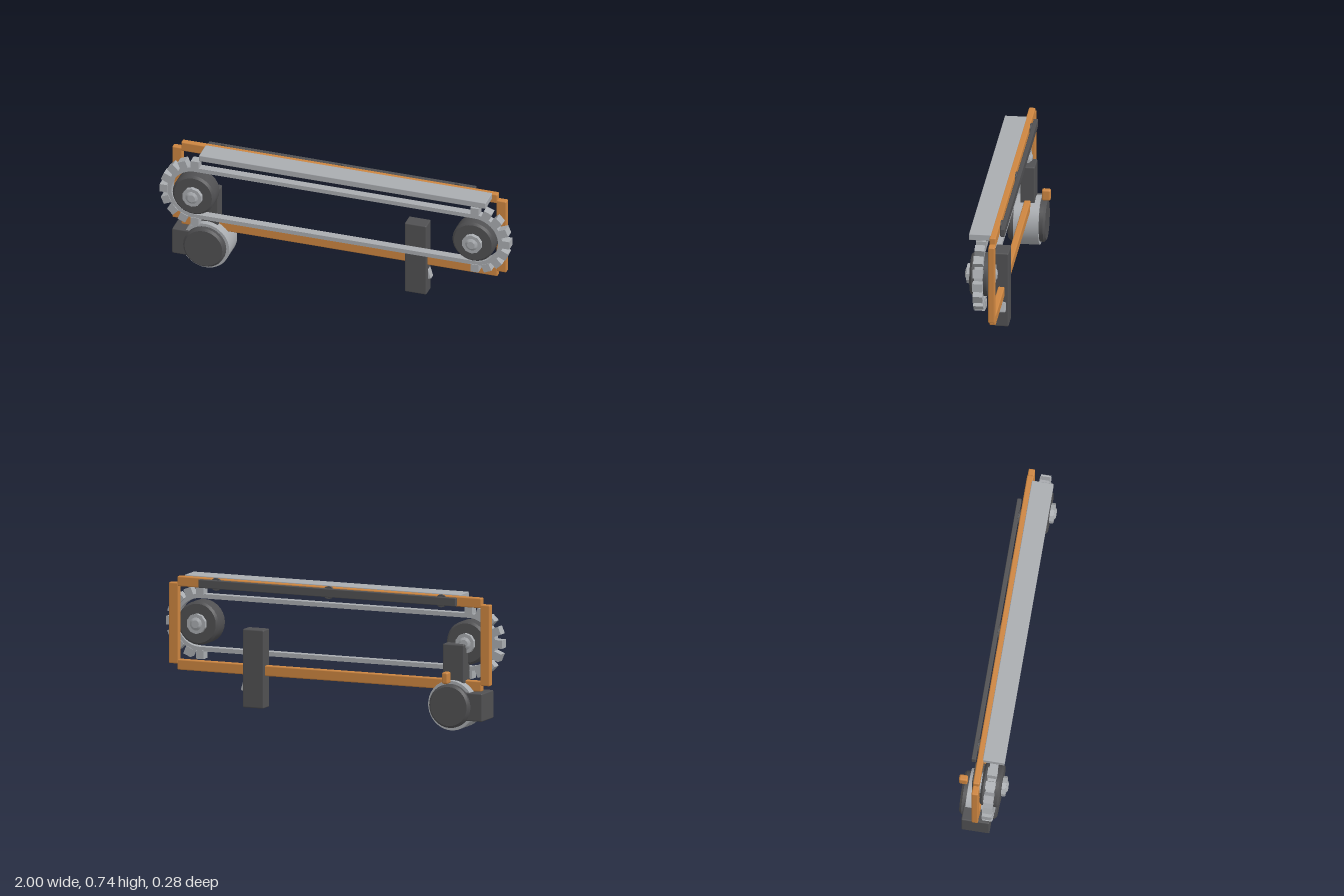
import * as THREE from 'three';
import { toCreasedNormals } from 'three/addons/utils/BufferGeometryUtils.js';
import { RoundedBoxGeometry } from 'three/addons/geometries/RoundedBoxGeometry.js';

export function createModel() {
  const model = new THREE.Group();
  model.name = 'conveyorFrame';
  const material = (name, color) => {
    const m = new THREE.MeshStandardMaterial({ color });
    m.name = name;
    return m;
  };
  const orange = material('orange', 0xcc8540);
  const grey = material('light grey', 0xa9acb0);
  const dark = material('dark grey', 0x505052);

  const add = (name, geometry, mat, parent = model) => {
    const mesh = new THREE.Mesh(geometry, mat);
    mesh.name = name;
    parent.add(mesh);
    return mesh;
  };
  // Softened block given by its low and high limits on each axis
  const block = (name, mat, [x0, x1], [y0, y1], [z0, z1], r = 0.007) => {
    const g = new RoundedBoxGeometry(x1 - x0, y1 - y0, z1 - z0, 2, r);
    g.translate((x0 + x1) / 2, (y0 + y1) / 2, (z0 + z1) / 2);
    return add(name, g, mat);
  };
  // Round part turned about the z axis; profile points are [radius, z]
  const turned = (name, mat, profile, x, y, sides = 32, parent = model) => {
    const pts = profile.map(([r, z]) => new THREE.Vector2(r, z));
    const g = toCreasedNormals(new THREE.LatheGeometry(pts, sides), 0.45);
    g.rotateX(Math.PI / 2);
    g.translate(x, y, 0);
    return add(name, g, mat, parent);
  };
  // Solid drum with chamfered rims
  const drum = (r, z0, z1, c) => [
    [0, z0], [r - c, z0], [r, z0 + c], [r, z1 - c], [r - c, z1], [0, z1],
  ];

  // Frame
  const frameZ = [-0.036, 0];
  block('topRail', orange, [-0.905, 0.905], [0.675, 0.731], frameZ);
  block('bottomRail', orange, [-0.905, 0.905], [0.215, 0.273], frameZ);
  block('leftPost', orange, [0.898, 0.956], [0.248, 0.695], frameZ);
  block('rightPost', orange, [-0.956, -0.898], [0.248, 0.695], frameZ);

  // Shelf along the top and the strip fixed behind it
  block('topShelf', grey, [-0.765, 0.875], [0.7, 0.736], [-0.005, 0.115], 0.004);
  block('backStrip', dark, [-0.765, 0.765], [0.68, 0.726], [-0.067, -0.043], 0.004);
  for (const x of [-0.67, 0, 0.67]) {
    turned('stripWasher', dark, drum(0.036, -0.046, -0.036, 0.001), x, 0.702, 12);
  }

  // Belt loop
  const beltY = 0.472, pulleyX = 0.8, beltZ = 0.055;
  const stadium = (path, r) => {
    path.moveTo(-pulleyX, -r);
    path.lineTo(pulleyX, -r);
    path.absarc(pulleyX, 0, r, -Math.PI / 2, Math.PI / 2, false);
    path.lineTo(-pulleyX, r);
    path.absarc(-pulleyX, 0, r, Math.PI / 2, Math.PI * 1.5, false);
    return path;
  };
  const loop = stadium(new THREE.Shape(), 0.158);
  loop.holes.push(stadium(new THREE.Path(), 0.134));
  const beltGeo = new THREE.ExtrudeGeometry(loop, { depth: 0.046, bevelEnabled: false, curveSegments: 24 });
  beltGeo.translate(0, beltY, beltZ - 0.023);
  add('belt', toCreasedNormals(beltGeo, 0.5), grey);

  // Pulleys, hubs on both faces, and cleats around each end
  const cleat = new THREE.BoxGeometry(0.046, 0.046, 0.054);
  for (const side of [-1, 1]) {
    const pulley = new THREE.Group();
    pulley.name = side > 0 ? 'leftPulley' : 'rightPulley';
    pulley.position.set(side * pulleyX, beltY, beltZ);
    model.add(pulley);
    turned('pulleyWheel', dark, drum(0.12, -0.054, 0.054, 0.012), 0, 0, 28, pulley);
    for (const face of [0, Math.PI]) {
      const flange = turned('hubFlange', grey,
        [[0, 0.05], [0.056, 0.05], [0.056, 0.077], [0, 0.077]], 0, 0, 10, pulley);
      const cap = turned('hubCap', grey,
        [[0.036, 0.075], [0.036, 0.078], [0.022, 0.087], [0, 0.087]], 0, 0, 16, pulley);
      flange.rotation.y = cap.rotation.y = face;
    }
    for (let i = 0; i <= 8; i++) {
      const a = -Math.PI / 2 + i * Math.PI / 8;
      const c = add('beltCleat', cleat, grey, pulley);
      c.position.set(side * Math.cos(a) * 0.177, Math.sin(a) * 0.177, 0);
      c.rotation.z = side * a;
    }
  }

  // Lower drum with its bracket, gearbox and knob
  const drumX = -0.748, drumY = 0.137;
  turned('drumBand', grey, drum(0.137, -0.086, 0.053, 0.001), drumX, drumY, 40);
  turned('drumCore', dark, drum(0.12, -0.12, 0.086, 0.012), drumX, drumY, 32);
  block('drumBracket', dark, [-0.811, -0.686], [0.1, 0.47], [-0.058, 0.022]);
  block('gearbox', dark, [-0.937, -0.8], [0.06, 0.215], [-0.095, 0.06]);
  block('knob', orange, [-0.751, -0.715], [0.262, 0.326], [-0.14, -0.092], 0.01);

  // Control box with a tilted switch on its outer face
  block('controlBox', dark, [0.381, 0.506], [0.038, 0.47], [-0.058, 0.022]);
  const lever = add('switch', new RoundedBoxGeometry(0.022, 0.06, 0.04, 2, 0.006), grey);
  lever.position.set(0.507, 0.155, -0.023);
  lever.rotation.z = 0.3;

  return model;
}
